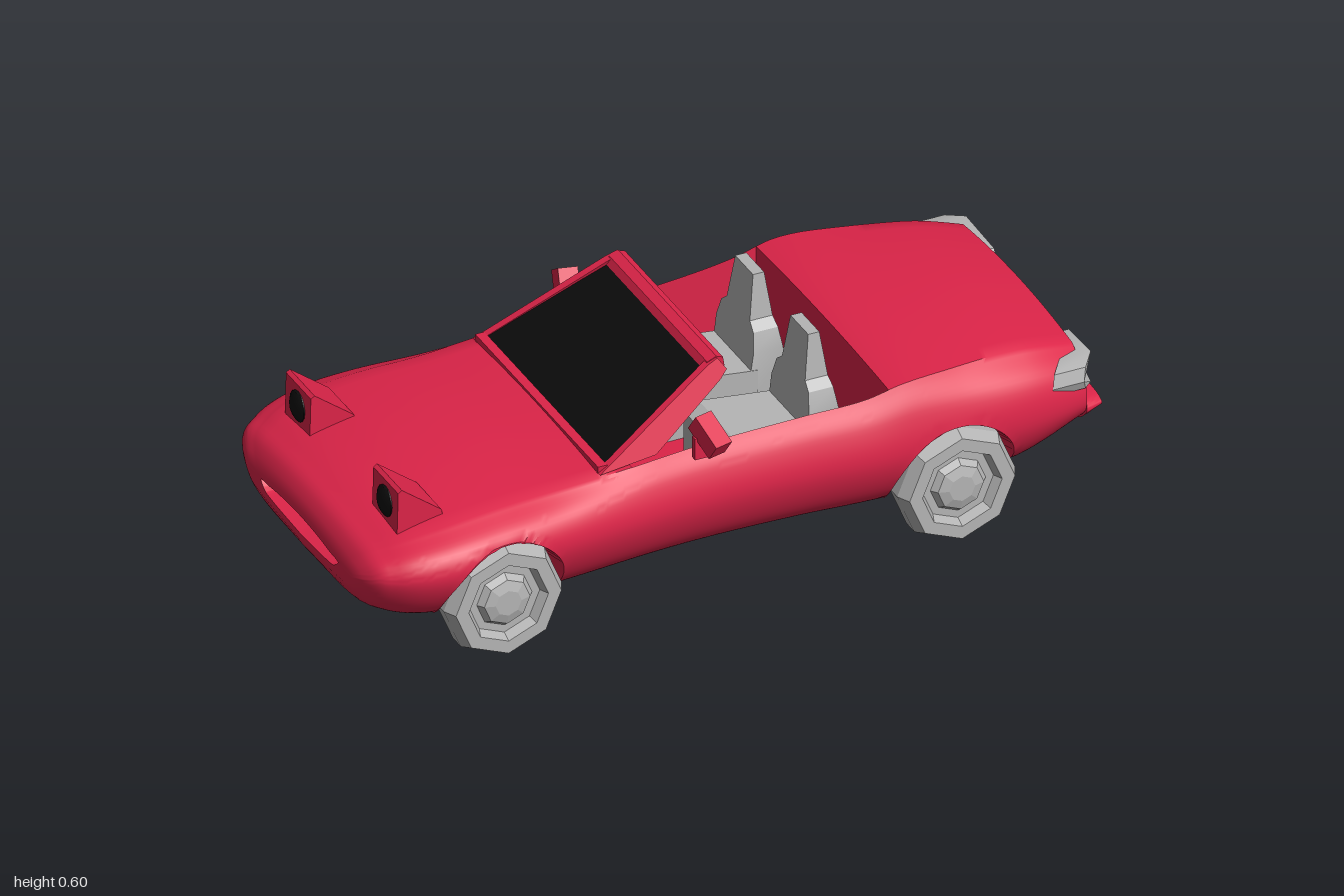
import * as THREE from 'three';
import { toCreasedNormals } from 'three/addons/utils/BufferGeometryUtils.js';

const red = new THREE.MeshStandardMaterial({ color: 0xdc2448 }); red.name = 'red paint';
const grey = new THREE.MeshStandardMaterial({ color: 0xb4b4b4 }); grey.name = 'light grey';
const black = new THREE.MeshStandardMaterial({ color: 0x0b0b0b }); black.name = 'black';

const AXLES = [-0.645, 0.585], WHEEL_R = 0.16;
const FLOOR = 0.17;

function mesh(name, geo, mat, crease = 0.5) {
  const m = new THREE.Mesh(toCreasedNormals(geo, crease), mat);
  m.name = name;
  return m;
}

// Flat outline [x, y] pushed along z
function extrude(points, depth) {
  const shape = new THREE.Shape(points.map(([x, y]) => new THREE.Vector2(x, y)));
  return new THREE.ExtrudeGeometry(shape, { depth, bevelEnabled: false });
}

// Move every vertex by a rule
function deform(geo, rule) {
  const p = geo.attributes.position, v = new THREE.Vector3();
  for (let i = 0; i < p.count; i++) {
    rule(v.fromBufferAttribute(p, i));
    p.setXYZ(i, v.x, v.y, v.z);
  }
  return geo;
}

// Body stations: x, then bottom height, top height, half width
const STATIONS = [
  [-1, 0.2, 0.28, 0.3], [-0.98, 0.165, 0.32, 0.36], [-0.93, 0.135, 0.35, 0.41],
  [-0.8, 0.11, 0.385, 0.455], [-0.65, 0.1, 0.402, 0.458], [-0.45, 0.1, 0.407, 0.44],
  [-0.1, 0.1, 0.42, 0.406], [0.2, 0.1, 0.432, 0.412], [0.36, 0.1, 0.443, 0.427],
  [0.46, 0.1, 0.465, 0.432], [0.6, 0.1, 0.47, 0.432], [0.8, 0.13, 0.46, 0.42],
  [0.95, 0.19, 0.425, 0.388], [1, 0.21, 0.41, 0.37],
];
const profile = new THREE.CubicInterpolant(
  STATIONS.map((s) => s[0]), STATIONS.flatMap((s) => s.slice(1)), 3);

// One closed cross-section; mode is deck, tub (open cockpit) or bumper
function section(x, mode) {
  let [yb, yt, w] = profile.evaluate(x);
  if (mode === 'bumper') yt = 0.29 - (x - 0.95) * 0.2;
  const yw = Math.min(0.27, yb + 0.65 * (yt - yb));
  const open = THREE.MathUtils.smoothstep(x, -0.6, -0.2) * (1 - THREE.MathUtils.smoothstep(x, 0.45, 0.8));
  const rz = w * (0.79 + 0.075 * open), ry = yt - (mode === 'bumper' ? 0.008 : 0.02 - 0.01 * open);
  const curve = new THREE.CatmullRomCurve3([
    [0, yb - 0.004], [0.72 * w, yb + 0.008], [0.89 * w, yb + 0.35 * (yw - yb)], [w, yw],
    [0.955 * w, yw + 0.62 * (ry - yw)], [rz, ry],
  ].map(([z, y]) => new THREE.Vector3(x, y, z)));
  const half = curve.getPoints(36);
  for (let i = 1; i <= 8; i++) {
    const k = 1 - i / 8;
    half.push(mode === 'tub'
      ? new THREE.Vector3(x, FLOOR, i === 1 ? rz - 0.004 : rz * k)
      : new THREE.Vector3(x, yt - (yt - ry) * k * k, rz * k));
  }
  // Wheel arches
  for (const p of half) for (const ax of AXLES) {
    const dx = p.x - ax, dy = p.y - WHEEL_R, r = Math.hypot(dx, dy);
    if (p.z < 0.3 || r > 0.18) continue;
    if (r > 0.158) { p.x = ax + dx * 0.167 / r; p.y = WHEEL_R + dy * 0.167 / r; } else p.z = 0.3;
  }
  const mirrored = half.slice(1, -1).reverse().map((p) => new THREE.Vector3(p.x, p.y, -p.z));
  return half.concat(mirrored);
}

function bodyGeometry() {
  const rings = [];
  // Air intake recessed in the nose
  for (const x of [-0.96, -0.998]) {
    rings.push(section(-1, 'deck').map((p) => new THREE.Vector3(x, 0.235 + (p.y - 0.235) * 0.6, p.z * 0.72)));
  }
  const span = (a, b, n, mode) => {
    for (let i = 0; i <= n; i++) rings.push(section(a + (b - a) * i / n, mode));
  };
  span(-1, -0.27, 64, 'deck');
  span(-0.27, 0.42, 56, 'tub');
  span(0.42, 0.95, 48, 'deck');
  span(0.95, 1, 4, 'bumper');

  const n = rings[0].length, last = (rings.length - 1) * n, index = [];
  const pos = rings.flat().flatMap((p) => [p.x, p.y, p.z]);
  pos.push(-0.96, 0.235, 0, 1, 0.25, 0);
  const nose = rings.length * n, tail = nose + 1;
  for (let j = 0; j < n; j++) {
    const k = (j + 1) % n;
    for (let o = 0; o < last; o += n) index.push(o + j, o + n + j, o + n + k, o + j, o + n + k, o + k);
    index.push(nose, j, k, tail, last + k, last + j);
  }
  const g = new THREE.BufferGeometry();
  g.setAttribute('position', new THREE.Float32BufferAttribute(pos, 3));
  g.setIndex(index);
  return g;
}

function windshield() {
  const g = new THREE.Group();
  g.name = 'windshield';
  // Glass on the slope of the pillars
  const glass = extrude([[-0.335, 0], [0.335, 0], [0.268, 0.34], [-0.268, 0.34]], 0.008);
  glass.applyMatrix4(new THREE.Matrix4().makeBasis(
    new THREE.Vector3(0, 0, 1), new THREE.Vector3(0.877, 0.48, 0), new THREE.Vector3(-0.48, 0.877, 0)));
  glass.translate(-0.33, 0.403, 0);
  g.add(mesh('windshieldGlass', glass, black));
  // Pillars lean inwards with height
  for (const s of [1, -1]) {
    const pillar = extrude([[-0.355, 0.4], [-0.2, 0.415], [0, 0.55], [0.02, 0.57], [0, 0.6], [-0.03, 0.588]], 0.022);
    deform(pillar, (v) => { v.z += -0.011 + s * (0.342 - (v.y - 0.41) * 0.38); });
    g.add(mesh('windshieldPillar', pillar, red));
  }
  const header = extrude([[-0.04, 0.565], [-0.025, 0.592], [0, 0.602], [0.018, 0.595], [0.022, 0.57], [0, 0.55]], 0.55);
  g.add(mesh('windshieldHeader', header.translate(0, 0, -0.275), red));
  g.add(mesh('windshieldBase', new THREE.BoxGeometry(0.025, 0.03, 0.69).translate(-0.342, 0.402, 0), red));
  return g;
}

function wheel() {
  const points = [[0, -0.06], [0.14, -0.06], [0.16, -0.02], [0.16, 0.025], [0.143, 0.06], [0.108, 0.06],
    [0.096, 0.035], [0.075, 0.035], [0.062, 0.052], [0.035, 0.06], [0, 0.06]];
  const geo = new THREE.LatheGeometry(points.map(([r, y]) => new THREE.Vector2(r, y)), 8);
  return mesh('wheel', geo.rotateX(Math.PI / 2), grey, 0.2);
}

function seat() {
  const g = new THREE.Group();
  g.name = 'seat';
  const back = extrude([[-0.1, FLOOR], [0.1, FLOOR], [0.105, 0.36], [0.09, 0.41], [0.065, 0.43], [0.05, 0.55],
    [-0.05, 0.55], [-0.065, 0.43], [-0.09, 0.41], [-0.105, 0.36]], 1).translate(0, 0, -0.5).rotateY(Math.PI / 2);
  // Backrest thins towards the headrest
  deform(back, (v) => { v.x = 0.298 + v.x * THREE.MathUtils.mapLinear(v.y, FLOOR, 0.55, 0.13, 0.03); });
  g.add(mesh('seatBack', back, grey));
  const cushion = extrude([[0.02, FLOOR], [0.27, FLOOR], [0.27, 0.31], [0.06, 0.335], [0.02, 0.315]], 0.21);
  g.add(mesh('seatCushion', cushion.translate(0, 0, -0.105), grey));
  return g;
}

export function createModel() {
  const car = new THREE.Group();
  car.name = 'convertible';
  car.add(mesh('body', bodyGeometry(), red, 0.7), windshield());

  for (const s of [1, -1]) {
    for (const x of AXLES) {
      const w = wheel();
      w.position.set(x, WHEEL_R, s * 0.385);
      if (s < 0) w.rotation.y = Math.PI;
      car.add(w);
    }

    const chair = seat();
    chair.position.z = s * 0.155;
    car.add(chair);

    // Raised headlight: wedge cover with a round lamp
    const cover = extrude([[-0.885, 0.35], [-0.76, 0.37], [-0.765, 0.39], [-0.872, 0.472], [-0.882, 0.465]], 0.14);
    car.add(mesh('headlightCover', cover.translate(0, 0, s * 0.245 - 0.07), red));
    const lamp = new THREE.SphereGeometry(0.042, 10, 8).scale(0.4, 1, 1).translate(-0.882, 0.408, s * 0.245);
    car.add(mesh('headlightLamp', lamp, black));

    // Door mirror on a short stem
    const mirror = new THREE.BoxGeometry(0.05, 0.052, 0.095).rotateX(s * 0.58).rotateY(s * 0.25);
    car.add(mesh('doorMirror', mirror.translate(-0.08, 0.47, s * 0.405), red));
    const stem = new THREE.BoxGeometry(0.05, 0.06, 0.018).translate(-0.09, 0.43, s * 0.385);
    car.add(mesh('mirrorStem', stem, red));

    // Tail light wrapping round the corner
    const outline = [[0.2, 0.335], [0.21, 0.322], [0.35, 0.31], [0.395, 0.325], [0.405, 0.35], [0.395, 0.385],
      [0.35, 0.397], [0.21, 0.38], [0.2, 0.365]];
    const light = extrude(outline.map(([z, y]) => [-s * z, y]), 0.085).rotateY(Math.PI / 2);
    deform(light, (v) => { v.x += 0.902 - Math.max(0, Math.abs(v.z) - 0.34) * 0.8; });
    car.add(mesh('tailLight', light, grey));
  }

  // Rear panel: frame and slightly raised centre
  const panel = (name, w, h, x0, depth) => {
    const c = 0.022, o = [[w, h - c], [w - c, h], [c - w, h], [-w, h - c], [-w, c - h], [c - w, -h], [w - c, -h], [w, c - h]];
    car.add(mesh(name, extrude(o, depth).rotateY(Math.PI / 2).translate(x0, 0.345, 0), grey));
  };
  panel('rearPanel', 0.168, 0.05, 0.94, 0.025);
  panel('rearPanelCentre', 0.155, 0.041, 0.965, 0.006);

  // Steering wheel and column
  const steering = new THREE.Group();
  steering.name = 'steering';
  steering.add(mesh('steeringWheel', new THREE.TorusGeometry(0.058, 0.008, 6, 12).rotateY(Math.PI / 2), grey));
  steering.add(mesh('steeringSpoke', new THREE.BoxGeometry(0.008, 0.016, 0.11), grey));
  steering.add(mesh('steeringColumn', new THREE.CylinderGeometry(0.012, 0.012, 0.1, 8).rotateZ(Math.PI / 2).translate(-0.05, 0, 0), grey));
  steering.position.set(-0.18, 0.365, -0.17);
  steering.rotation.z = 0.3;
  car.add(steering);
  return car;
}
